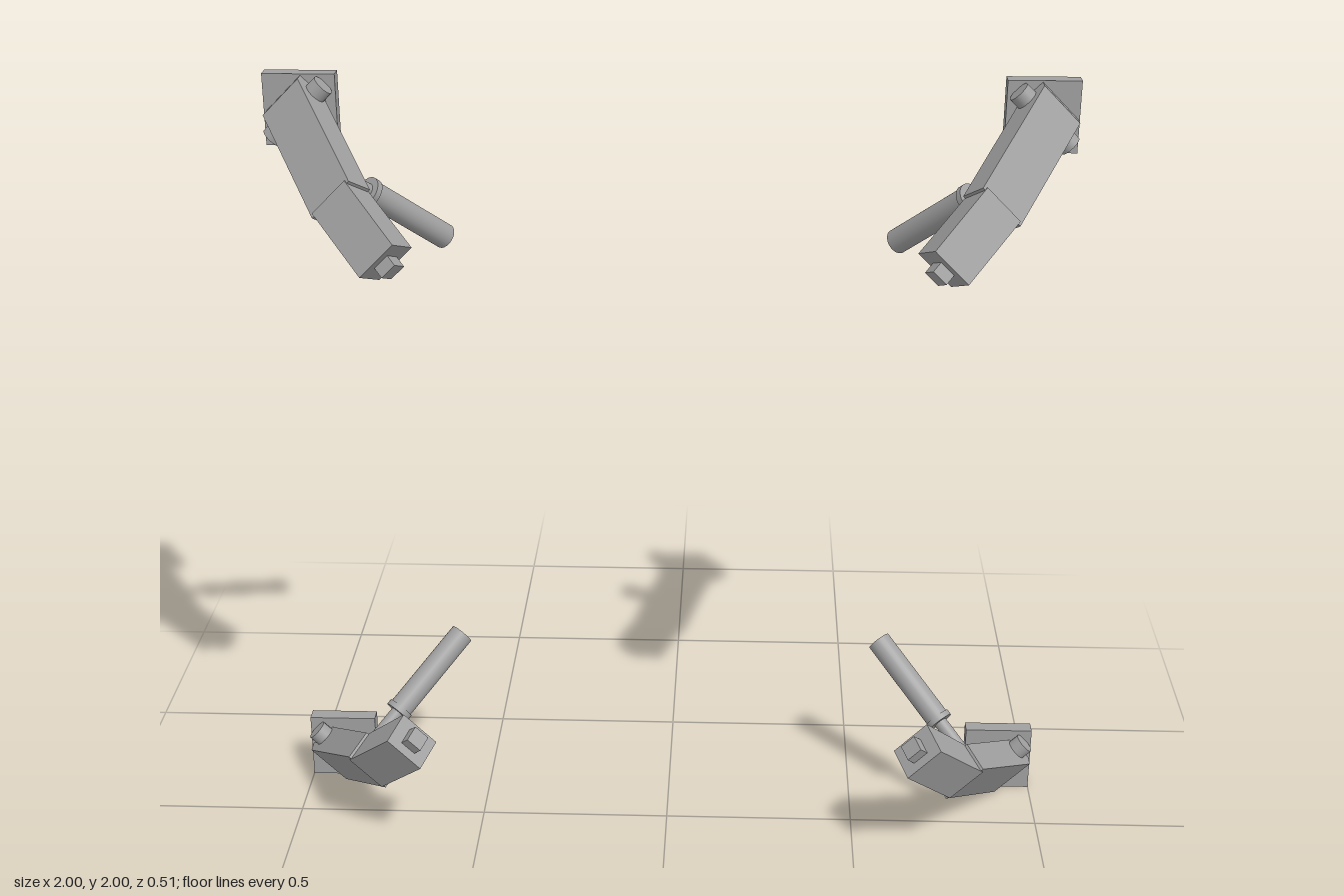
import * as THREE from 'three';

const metal = new THREE.MeshStandardMaterial({ color: 0xa0a0a0 });
metal.name = 'grey metal';

function part(name, geometry) {
  const mesh = new THREE.Mesh(geometry, metal);
  mesh.name = name;
  return mesh;
}

// Solid from a side profile of [inward, forward] points, centred across its width
function profileSolid(name, points, width) {
  const shape = new THREE.Shape(points.map(([r, z]) => new THREE.Vector2(r, z)));
  const geometry = new THREE.ExtrudeGeometry(shape, { depth: width, bevelEnabled: false });
  geometry.translate(0, 0, -width / 2).rotateX(Math.PI / 2);
  return part(name, geometry);
}

// Cylinder between two [inward, forward] points
function rod(name, a, b, radius) {
  const from = new THREE.Vector3(a[0], 0, a[1]);
  const to = new THREE.Vector3(b[0], 0, b[1]);
  const mesh = part(name, new THREE.CylinderGeometry(radius, radius, from.distanceTo(to), 24));
  mesh.position.copy(from).add(to).multiplyScalar(0.5);
  mesh.quaternion.setFromUnitVectors(new THREE.Vector3(0, 1, 0), to.sub(from).normalize());
  return mesh;
}

// Box aligned with the lower arm
function armBox(name, size, r, z) {
  const mesh = part(name, new THREE.BoxGeometry(...size));
  mesh.position.set(r, 0, z);
  mesh.rotation.y = -Math.atan2(0.1, 0.17);
  return mesh;
}

// One leg: local x points inward from the corner, z points forward
function createLeg() {
  const leg = new THREE.Group();

  // Square mounting plate
  const plate = part('mountingPlate', new THREE.BoxGeometry(0.18, 0.18, 0.04));
  plate.position.set(0.09 * Math.SQRT2, 0, -0.204);
  plate.rotation.z = Math.PI / 4;

  // Hinge pin across the top of the arm
  const hinge = part('hingePin', new THREE.CylinderGeometry(0.028, 0.028, 0.19, 24));
  hinge.position.set(0.125, 0, -0.16);

  leg.add(
    plate,
    hinge,
    profileSolid('upperArm', [[0.07, -0.185], [0.148, -0.185], [0.359, 0.09], [0.304, 0.15], [0.07, -0.15]], 0.13),
    profileSolid('lowerArm', [[0.296, 0.147], [0.35, 0.08], [0.515, 0.17], [0.469, 0.25]], 0.115),
    // Small lug on the tip and two ribs on the inner face
    armBox('tipLug', [0.06, 0.045, 0.045], 0.492, 0.21),
    armBox('innerRib', [0.008, 0.04, 0.012], 0.43, 0.124),
    armBox('innerRib', [0.008, 0.04, 0.012], 0.47, 0.146),
    // Piston
    rod('pistonRod', [0.24, 0.002], [0.39, -0.095], 0.018),
    rod('pistonCollar', [0.372, -0.083], [0.385, -0.0915], 0.036),
    rod('pistonCylinder', [0.38, -0.088], [0.605, -0.233], 0.032)
  );
  return leg;
}

export function createModel() {
  const model = new THREE.Group();
  model.name = 'foldingLegs';
  for (const sx of [-1, 1]) {
    for (const sy of [-1, 1]) {
      const leg = createLeg();
      leg.name = (sy > 0 ? 'upper' : 'lower') + (sx > 0 ? 'Left' : 'Right') + 'Leg';
      leg.position.set(sx, 1 + sy, 0);
      leg.rotation.z = Math.atan2(-sy, -sx);
      model.add(leg);
    }
  }
  return model;
}
